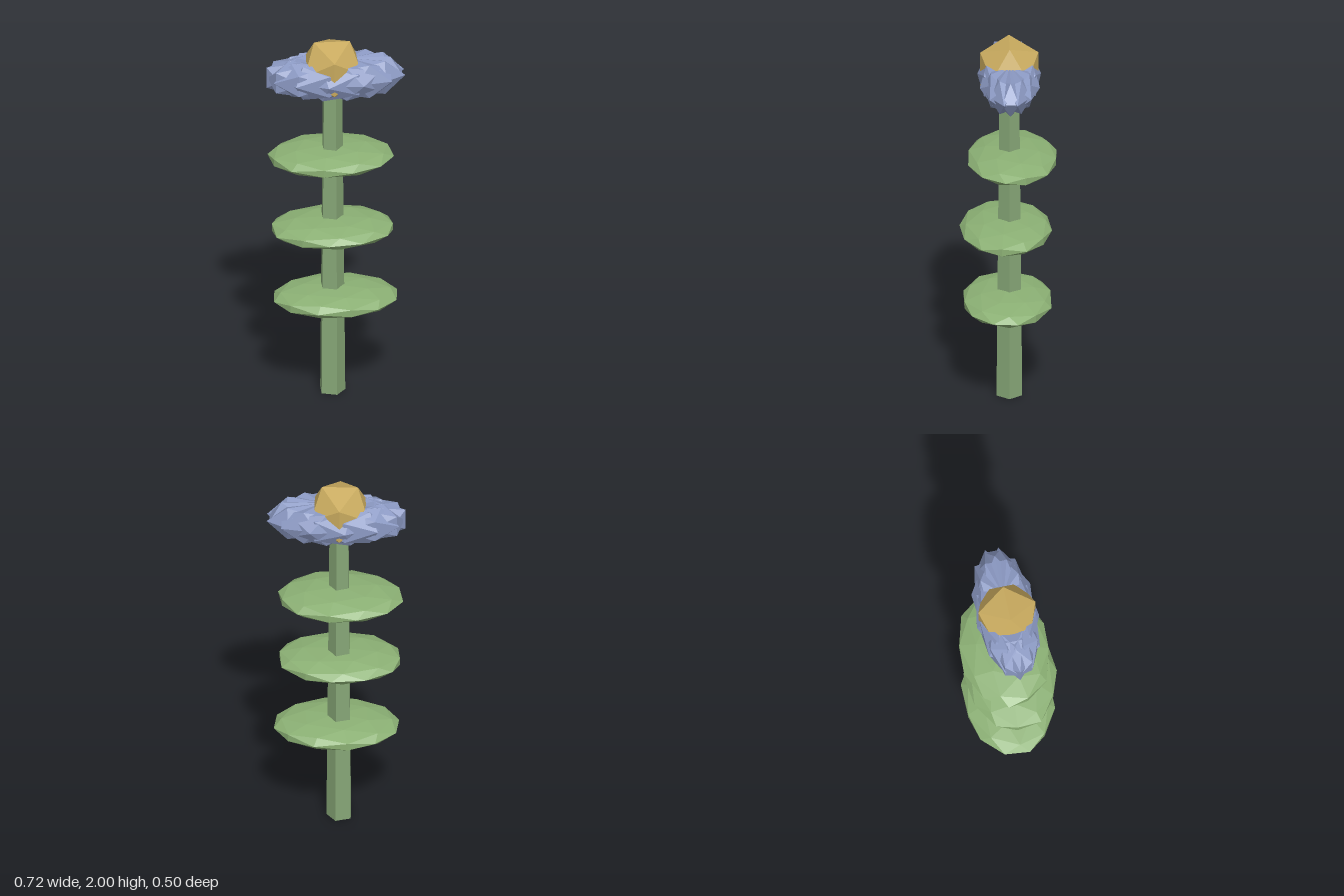
import * as THREE from 'three';

const CX = -0.013; // stem axis

function part(name, geometry, color, x, y, z) {
  const material = new THREE.MeshStandardMaterial({ color, flatShading: true });
  const mesh = new THREE.Mesh(geometry, material);
  mesh.name = name;
  mesh.position.set(x, y, z);
  return mesh;
}

export function createModel() {
  const model = new THREE.Group();
  model.name = 'flower';

  // five-sided tapering stem, one edge towards +x
  const stem = new THREE.CylinderGeometry(0.054, 0.07, 1.76, 5);
  stem.rotateY(Math.PI / 2);
  model.add(part('stem', stem, 0x86a676, CX, 0.88, 0));

  // three flattened leaf discs: [x, y, z, turn in degrees]
  const leaves = [
    [0.005, 0.545, 0.01, 20],
    [-0.012, 0.945, 0.018, 65],
    [-0.017, 1.342, -0.016, 42],
  ];
  for (const [x, y, z, turn] of leaves) {
    const leaf = new THREE.IcosahedronGeometry(1, 1);
    leaf.rotateY(-THREE.MathUtils.degToRad(turn));
    leaf.scale(0.33, 0.0635, 0.24);
    model.add(part('leaf', leaf, 0x8bb074, x, y, z));
  }

  // ring of overlapping faceted petals, flattened front to back
  const petals = new THREE.Group();
  petals.name = 'petals';
  petals.position.set(0, 1.81, 0);
  const count = 16, ring = 0.19, size = 0.19;
  for (let i = 0; i < count; i++) {
    const a = (i / count) * Math.PI * 2;
    const petal = new THREE.IcosahedronGeometry(size, 0);
    petal.rotateY(-a * 1.5);
    petal.translate(Math.cos(a) * ring, 0, Math.sin(a) * ring);
    petal.scale(1, 0.11 / size, 0.44);
    petals.add(part('petal', petal, 0x8c9ac4, 0, 0, 0));
  }
  model.add(petals);

  // faceted flower centre
  model.add(part('flowerCentre', new THREE.IcosahedronGeometry(0.177, 0), 0xc8aa5e, CX, 1.85, 0));

  return model;
}
